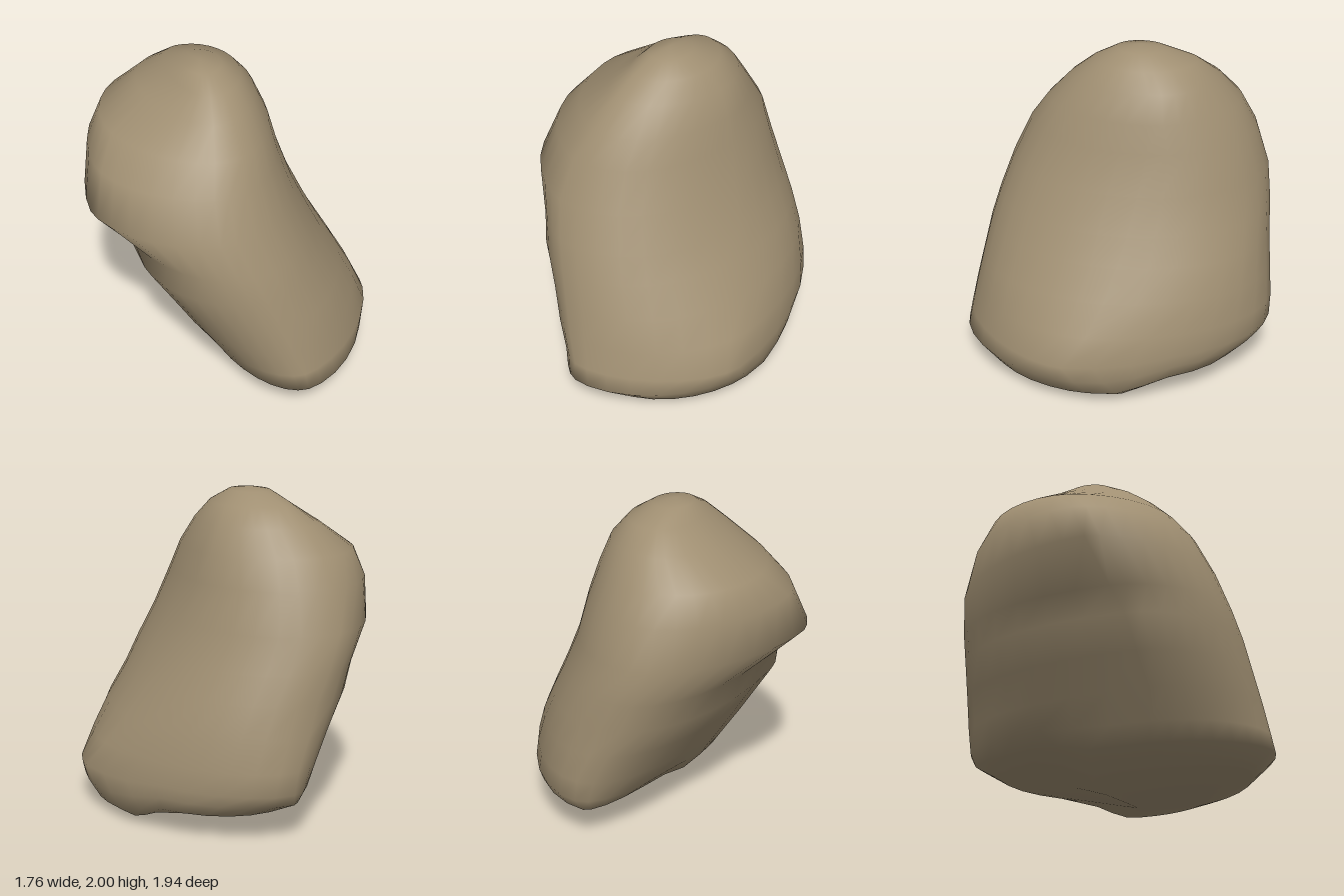
import * as THREE from 'three';

const SIDES = 32;

// Horizontal slices of the leaning boulder, bottom to top:
// y, xMin, xMax, zMin, zMax, x of front tip, x of back tip, z of left tip, z of right tip
const SLICES = [
  [0.02, 0.22, 0.74, -0.50, 0.48, 0.45, 0.40, 0.20, 0.00],
  [0.07, 0.03, 0.82, -0.78, 0.80, 0.28, 0.20, 0.38, 0.10],
  [0.17, -0.19, 0.865, -0.92, 0.97, 0.18, 0.12, 0.28, 0.18],
  [0.28, -0.26, 0.885, -0.965, 0.95, 0.16, 0.15, 0.30, 0.25],
  [0.45, -0.37, 0.82, -0.97, 0.92, 0.09, 0.13, 0.32, 0.12],
  [0.64, -0.49, 0.72, -0.955, 0.88, 0.02, 0.05, 0.28, 0.02],
  [0.83, -0.61, 0.615, -0.94, 0.84, -0.05, -0.02, 0.24, -0.05],
  [1.00, -0.65, 0.53, -0.935, 0.79, -0.12, -0.10, 0.16, -0.10],
  [1.22, -0.88, 0.43, -0.91, 0.71, -0.20, -0.20, 0.07, -0.15],
  [1.47, -0.81, 0.35, -0.83, 0.59, -0.20, -0.20, -0.03, -0.20],
  [1.64, -0.69, 0.31, -0.73, 0.47, -0.15, -0.20, -0.18, -0.20],
  [1.80, -0.44, 0.24, -0.60, 0.32, -0.13, -0.15, -0.23, -0.20],
  [1.91, -0.28, 0.15, -0.46, 0.18, -0.11, -0.12, -0.15, -0.15],
  [1.98, -0.21, 0.03, -0.26, 0.04, -0.10, -0.10, -0.11, -0.11],
];

// How much each corner of a slice is pinched (1 = round):
// right front, left front, left back, right back
const PINCH = [
  [1, 1, 1.4, 1],
  [1.1, 1, 1.4, 1],
  [1.2, 1.05, 1.2, 1.1],
  [1.3, 1.1, 1, 1.12],
  [1.15, 1.12, 1, 1.1],
  [1.04, 1.15, 1, 1],
  [1.04, 1.12, 0.95, 0.97],
  [0.98, 1.1, 1, 1],
  [0.95, 1.2, 1.2, 1],
  [0.96, 1.2, 1.05, 1],
  [1, 1.15, 1, 1.1],
  [1, 1.1, 1, 1.05],
  [1, 1, 1, 1],
  [1, 1, 1, 1],
];

// One point of a slice: four quarter curves joined at the tips
function slicePoint([y, x0, x1, z0, z1, xf, xb, zl, zr], pinch, j) {
  const angle = (j / SIDES) * Math.PI * 2;
  const c = Math.cos(angle), s = Math.sin(angle);
  const power = pinch[Math.floor((j * 4) / SIDES)];
  const cx = s > 0 ? xf : xb, cz = c > 0 ? zr : zl;
  const x = cx + Math.abs(c) ** power * ((c > 0 ? x1 : x0) - cx);
  const z = cz + Math.abs(s) ** power * ((s > 0 ? z1 : z0) - cz);
  // the underside is hollowed out towards the back
  const lift = 0.11 * THREE.MathUtils.smoothstep(-z, 0.05, 0.4) * Math.max(0, 1 - y / 0.4);
  return [x, y + lift, z];
}

function boulderGeometry() {
  const positions = [], index = [];
  SLICES.forEach((slice, i) => {
    for (let j = 0; j < SIDES; j++) positions.push(...slicePoint(slice, PINCH[i], j));
  });
  const bottom = SLICES.length * SIDES, top = bottom + 1;
  positions.push(0.5, 0, 0.05, -0.1, 2, -0.11);

  const last = (SLICES.length - 1) * SIDES;
  for (let j = 0; j < SIDES; j++) {
    const k = (j + 1) % SIDES;
    for (let i = 0; i < last; i += SIDES) {
      const a = i + j, b = i + k, c = a + SIDES, d = b + SIDES;
      index.push(a, c, b, b, c, d);
    }
    // closing fans
    index.push(bottom, j, k, top, last + k, last + j);
  }
  const geometry = new THREE.BufferGeometry();
  geometry.setAttribute('position', new THREE.Float32BufferAttribute(positions, 3));
  geometry.setIndex(index);
  geometry.computeVertexNormals();
  return geometry;
}

export function createModel() {
  const group = new THREE.Group();
  group.name = 'rock';
  const stone = new THREE.MeshStandardMaterial({ color: 0xa08f72 });
  stone.name = 'sandy stone';
  const boulder = new THREE.Mesh(boulderGeometry(), stone);
  boulder.name = 'boulder';
  group.add(boulder);
  return group;
}
